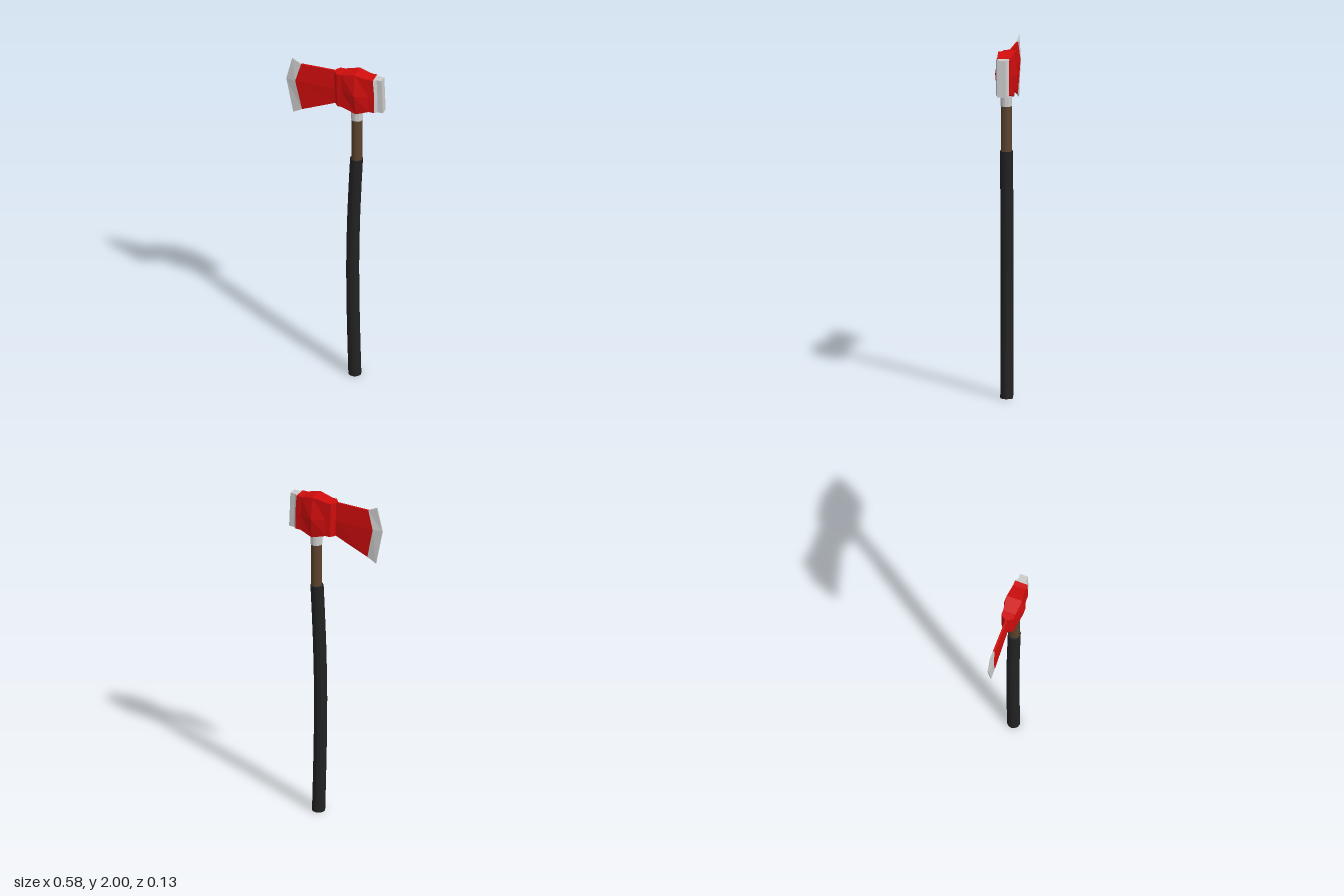
import * as THREE from 'three';

const mat = (color) => new THREE.MeshStandardMaterial({ color, flatShading: true });
const steel = mat(0xcccccc), red = mat(0xd00d0d), wood = mat(0x5c432e), rubber = mat(0x222222);

// Lofts six-sided sections along +x. Each section gives x, y and half-thickness at [top, middle, bottom].
function loft(name, sections, material) {
  const pos = [];
  const rings = sections.map(({ x, y, z }) =>
    [[0, 1], [1, 1], [2, 1], [2, -1], [1, -1], [0, -1]].map(([i, s]) => [x[i], y[i], s * z[i]]));
  const tri = (...pts) => pts.forEach((p) => pos.push(...p));
  for (let i = 0; i < rings.length - 1; i++) {
    for (let k = 0; k < 6; k++) {
      const n = (k + 1) % 6, a = rings[i], b = rings[i + 1];
      tri(a[k], a[n], b[n]);
      tri(a[k], b[n], b[k]);
    }
  }
  // End caps, split along the middle line
  const f = rings[0], l = rings[rings.length - 1];
  for (const [a, b, c] of [[0, 1, 4], [0, 4, 5], [1, 2, 3], [1, 3, 4]]) {
    tri(f[a], f[c], f[b]);
    tri(l[a], l[b], l[c]);
  }
  const geo = new THREE.BufferGeometry();
  geo.setAttribute('position', new THREE.Float32BufferAttribute(pos, 3));
  geo.computeVertexNormals();
  const mesh = new THREE.Mesh(geo, material);
  mesh.name = name;
  return mesh;
}

const section = (x, y, z) => ({ x, y, z });

// Upright round piece between two heights
function rod(name, r, y0, y1, x, material) {
  const mesh = new THREE.Mesh(new THREE.CylinderGeometry(r, r, y1 - y0, 12), material);
  mesh.position.set(x, (y0 + y1) / 2, 0);
  mesh.name = name;
  return mesh;
}

// Rubber grip: a cylinder whose rings follow a gentle sideways bow
function makeGrip() {
  const height = 1.42;
  const bow = new THREE.CatmullRomCurve3(
    [[0.115, 0], [0.106, 0.355], [0.102, 0.71], [0.109, 1.065], [0.125, height]]
      .map(([x, y]) => new THREE.Vector3(x, y, 0)));
  const geo = new THREE.CylinderGeometry(0.037, 0.037, height, 12, 8);
  geo.translate(0, height / 2, 0);
  const p = geo.attributes.position;
  for (let i = 0; i < p.count; i++) p.setX(i, p.getX(i) + bow.getPoint(p.getY(i) / height).x);
  geo.computeVertexNormals();
  const mesh = new THREE.Mesh(geo, rubber);
  mesh.name = 'grip';
  return mesh;
}

export function createModel() {
  const axe = new THREE.Group();
  axe.name = 'axe';

  // Handle
  axe.add(makeGrip());
  axe.add(rod('woodenShaft', 0.031, 1.4, 1.7, 0.128, wood));
  axe.add(rod('collar', 0.034, 1.68, 1.8, 0.129, steel));

  // Blade and its sharpened edge
  const bladeFront = section([-0.203, -0.235, -0.197], [1.972, 1.86, 1.677], [0.005, 0.013, 0.005]);
  axe.add(loft('cuttingEdge', [
    section([-0.257, -0.291, -0.25], [2, 1.86, 1.647], [0.002, 0.004, 0.002]),
    bladeFront,
  ], steel));
  axe.add(loft('blade', [
    bladeFront,
    section([0.005, 0.005, 0.005], [1.972, 1.86, 1.762], [0.005, 0.013, 0.005]),
  ], red));

  // Swollen eye around the handle
  const flat = [1.972, 1.86, 1.762];
  const back = section([0.235, 0.243, 0.243], flat, [0.037, 0.037, 0.037]);
  axe.add(loft('head', [
    section([0, 0, 0.005], flat, [0.013, 0.013, 0.013]),
    section([0.018, 0.02, 0.025], flat, [0.037, 0.037, 0.037]),
    section([0.045, 0.05, 0.05], flat, [0.037, 0.038, 0.037]),
    section([0.128, 0.131, 0.136], [1.99, 1.86, 1.737], [0.046, 0.063, 0.046]),
    section([0.205, 0.208, 0.21], flat, [0.037, 0.039, 0.037]),
    back,
  ], red));

  // Hammer poll
  axe.add(loft('poll', [
    back,
    section([0.252, 0.257, 0.258], flat, [0.023, 0.023, 0.023]),
    section([0.282, 0.286, 0.29], flat, [0.023, 0.023, 0.023]),
  ], steel));

  return axe;
}
